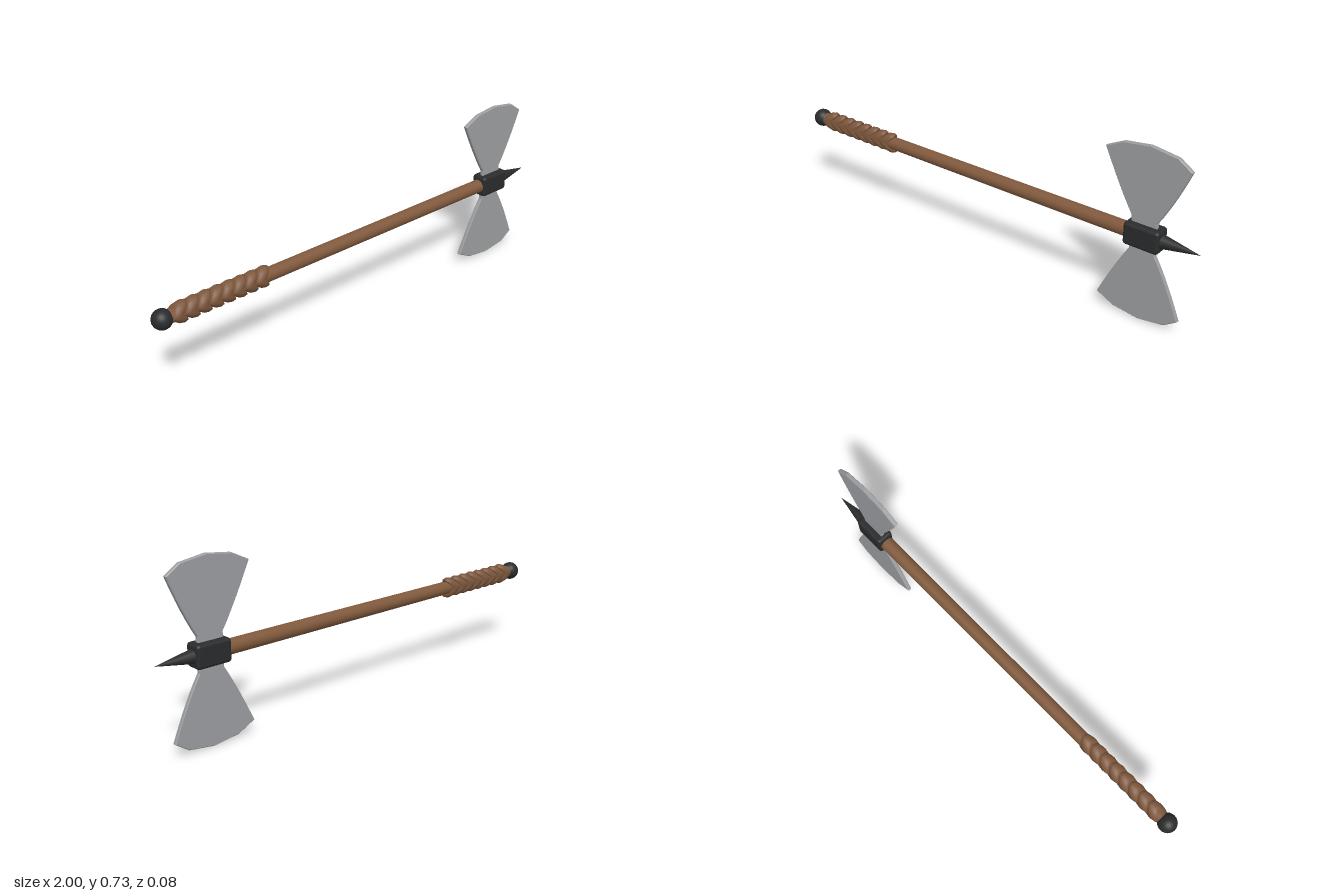
import * as THREE from 'three';
import { mergeVertices } from 'three/addons/utils/BufferGeometryUtils.js';
import { RoundedBoxGeometry } from 'three/addons/geometries/RoundedBoxGeometry.js';

const AXIS_Y = 0.37; // height of the shaft's centre line

function material(name, color) {
  const m = new THREE.MeshStandardMaterial({ color });
  m.name = name;
  return m;
}

// Flared blade outline, measured upward from the shaft's centre line
function bladeGeometry() {
  const shape = new THREE.Shape();
  shape.moveTo(0.716, 0);
  shape.lineTo(0.716, 0.07);
  shape.quadraticCurveTo(0.66, 0.16, 0.589, 0.313);
  [[0.66, 0.348], [0.77, 0.362], [0.88, 0.346], [0.935, 0.309]].forEach(([x, y]) => shape.lineTo(x, y));
  shape.quadraticCurveTo(0.875, 0.16, 0.819, 0.07);
  shape.lineTo(0.819, 0);
  const geo = new THREE.ExtrudeGeometry(shape, {
    depth: 0.012, bevelThickness: 0.003, bevelSize: 0.003, bevelSegments: 1, curveSegments: 6,
  });
  return geo.translate(0, 0, -0.006);
}

// Oval leather band swept back into a chevron above and below the shaft
function bandGeometry() {
  let geo = new THREE.TorusGeometry(0.026, 0.012, 8, 24);
  geo.rotateY(Math.PI / 2).scale(2.2, 1.2, 0.92);
  const p = geo.attributes.position;
  for (let i = 0; i < p.count; i++) p.setX(i, p.getX(i) + 0.75 * Math.abs(p.getY(i)));
  geo.deleteAttribute('uv');
  geo.deleteAttribute('normal');
  geo = mergeVertices(geo, 1e-5);
  geo.computeVertexNormals();
  return geo;
}

export function createModel() {
  const axe = new THREE.Group();
  axe.name = 'doubleAxe';
  const wood = material('wood', 0x80593d);
  const leather = material('leather', 0x7d573c);
  const iron = material('darkIron', 0x2a2b2c);
  const steel = material('steel', 0x9c9ea1);

  const add = (name, geo, mat, x = 0, parent = axe) => {
    const mesh = new THREE.Mesh(geo, mat);
    mesh.name = name;
    mesh.position.set(x, AXIS_Y, 0);
    parent.add(mesh);
    return mesh;
  };

  // Shaft and pommel
  add('shaft', new THREE.CylinderGeometry(0.03, 0.028, 1.68, 16).rotateZ(-Math.PI / 2), wood, -0.12);
  add('pommel', new THREE.SphereGeometry(0.04, 24, 16), iron, -0.96);

  // Wrapped grip
  const grip = new THREE.Group();
  grip.name = 'grip';
  axe.add(grip);
  const band = bandGeometry();
  for (let i = 0; i < 8; i++) add('gripBand', band, leather, -0.908 + i * 0.052, grip);

  // Head block and end spike
  add('headBlock', new RoundedBoxGeometry(0.15, 0.094, 0.075, 3, 0.014), iron, 0.77);
  add('spike', new THREE.ConeGeometry(0.03, 0.17, 16).rotateZ(-Math.PI / 2), iron, 0.915);

  // Mirrored pair of blades
  const blade = bladeGeometry();
  add('upperBlade', blade, steel);
  add('lowerBlade', blade.clone().translate(-0.7675, 0, 0).rotateX(Math.PI).translate(0.7675, 0, 0), steel);

  return axe;
}
